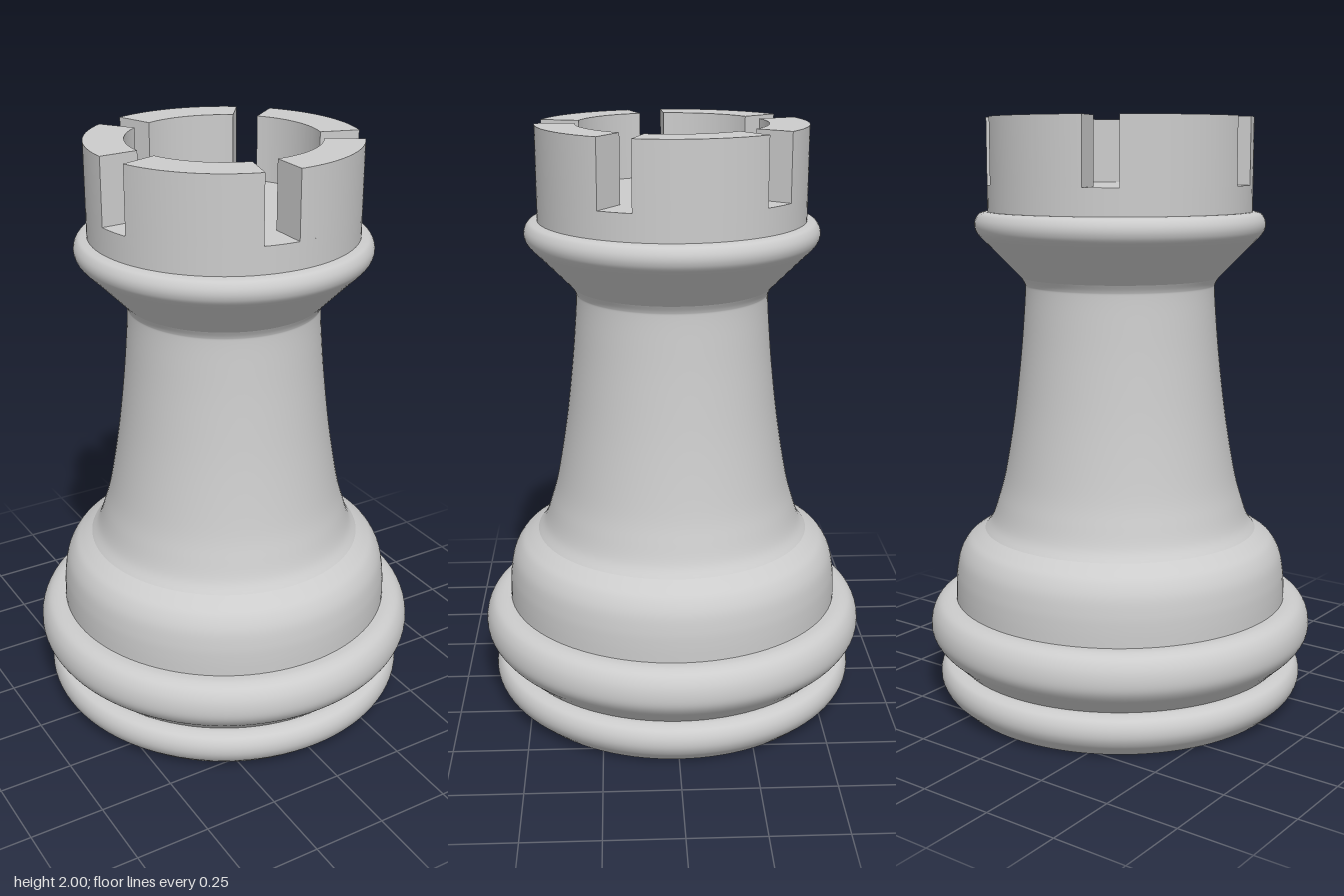
import * as THREE from 'three';
import { toCreasedNormals } from 'three/addons/utils/BufferGeometryUtils.js';

const material = new THREE.MeshStandardMaterial({ color: 0xcccccc });
const SEGMENTS = 96;

// Turned section: points [radius, height] run upward along the outside.
function turned(name, points, smooth = true) {
  const pts = points.map(([r, y]) => new THREE.Vector2(r, y));
  const profile = smooth ? new THREE.SplineCurve(pts).getPoints(points.length * 5) : pts;
  const mesh = new THREE.Mesh(new THREE.LatheGeometry(profile, SEGMENTS), material);
  mesh.name = name;
  return mesh;
}

// One battlement block: a ring segment, extruded upward.
function merlon(start, end, inner, outer, bottom, top) {
  const shape = new THREE.Shape();
  shape.absarc(0, 0, outer, start, end, false);
  shape.absarc(0, 0, inner, end, start, true);
  shape.closePath();
  const extruded = new THREE.ExtrudeGeometry(shape, {
    depth: top - bottom, bevelEnabled: false, curveSegments: 18,
  });
  extruded.rotateX(-Math.PI / 2).translate(0, bottom, 0);
  const mesh = new THREE.Mesh(toCreasedNormals(extruded, 0.5), material);
  mesh.name = 'merlon';
  return mesh;
}

export function createModel() {
  const rook = new THREE.Group();
  rook.name = 'rook';

  // Foot and the two base rings
  rook.add(turned('underside', [[0, 0], [0.575, 0]], false));
  rook.add(turned('footRing', [
    [0.575, 0], [0.599, 0.022], [0.622, 0.046], [0.635, 0.075],
    [0.634, 0.105], [0.62, 0.13], [0.595, 0.141], [0.575, 0.142],
  ]));
  rook.add(turned('baseRing', [
    [0.575, 0.142], [0.61, 0.176], [0.642, 0.207], [0.662, 0.24], [0.666, 0.275],
    [0.658, 0.312], [0.638, 0.342], [0.608, 0.356], [0.575, 0.357],
  ]));

  // Shoulder flowing into the tapering stem and out to the collar
  rook.add(turned('shoulder', [
    [0.577, 0.357], [0.576, 0.41], [0.572, 0.46], [0.56, 0.515],
    [0.535, 0.558], [0.505, 0.582], [0.472, 0.602],
  ]));
  rook.add(turned('stem', [
    [0.472, 0.602], [0.447, 0.637], [0.425, 0.7], [0.398, 0.8], [0.364, 1],
    [0.34, 1.2], [0.327, 1.35], [0.322, 1.43], [0.324, 1.45], [0.336, 1.472],
  ]));
  rook.add(turned('collar', [
    [0.336, 1.472], [0.38, 1.517], [0.43, 1.568], [0.474, 1.612],
    [0.488, 1.637], [0.488, 1.662], [0.475, 1.684], [0.455, 1.691], [0.44, 1.692],
  ]));

  // Crown drum with a flat floor level with the notches
  const outer = 0.445, floor = 1.78;
  rook.add(turned('crownDrum', [[outer, 1.69], [outer, floor]], false));
  rook.add(turned('crownFloor', [[outer, floor], [0, floor]], false));

  // Five merlons parted by radial notches
  const battlements = new THREE.Group();
  battlements.name = 'battlements';
  for (let i = 0; i < 5; i++) {
    const start = THREE.MathUtils.degToRad(54 + i * 72);
    const end = start + THREE.MathUtils.degToRad(57);
    battlements.add(merlon(start, end, 0.315, outer, floor, 2));
  }
  rook.add(battlements);

  return rook;
}
